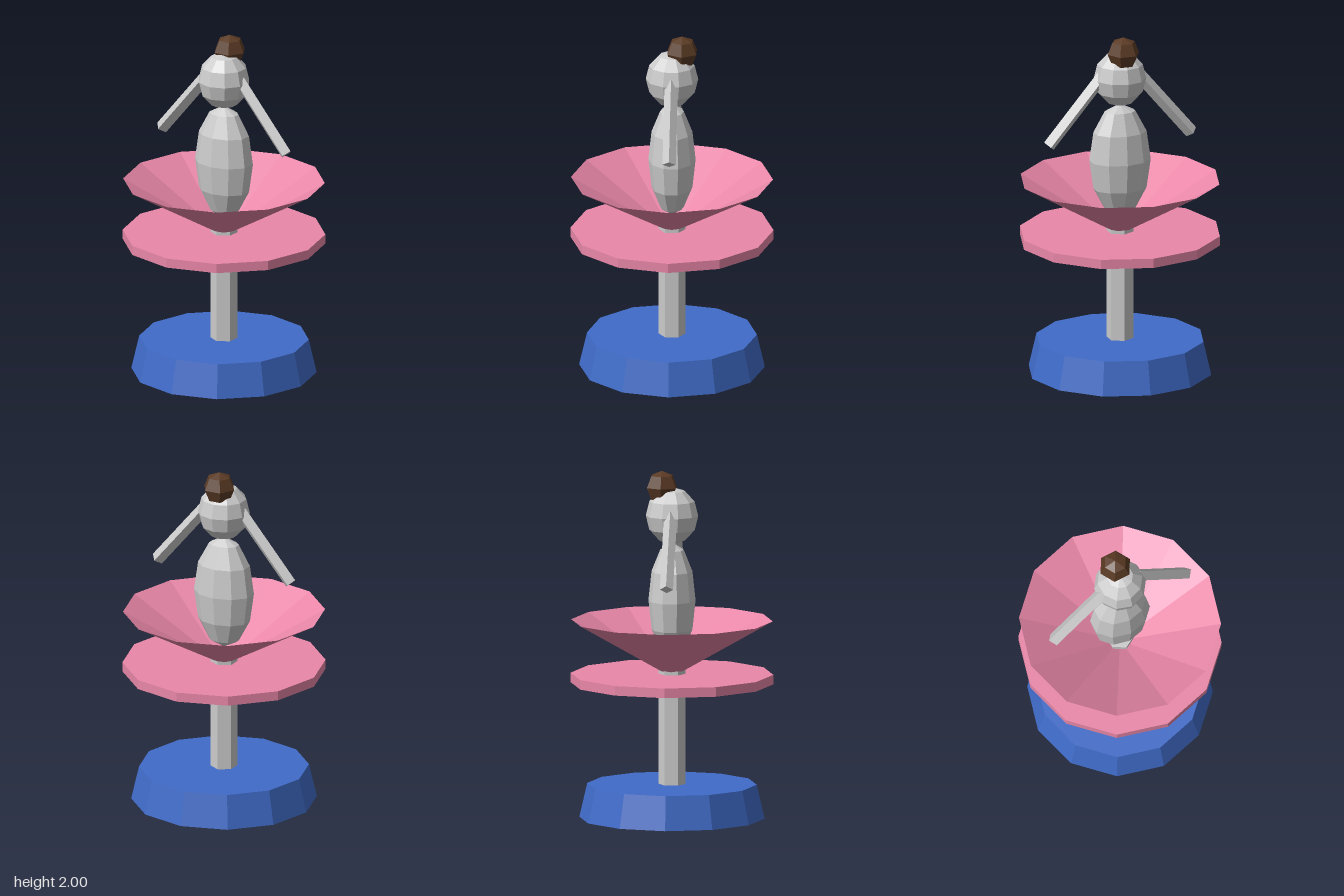
import * as THREE from 'three';

const paint = (color, side = THREE.FrontSide) =>
  new THREE.MeshStandardMaterial({ color, flatShading: true, side });

export function createModel() {
  const group = new THREE.Group();
  const grey = paint(0xcccccc);
  const blue = paint(0x3f6bc8);
  const brown = paint(0x5a3a24);
  const pink = paint(0xe987a8);
  const pinkOpen = paint(0xe987a8, THREE.DoubleSide);

  const add = (name, geometry, material, x = 0, y = 0, z = 0) => {
    const mesh = new THREE.Mesh(geometry, material);
    mesh.name = name;
    mesh.position.set(x, y, z);
    group.add(mesh);
    return mesh;
  };

  // Upright prism or frustum between two heights
  const column = (name, rTop, rBottom, y0, y1, sides, material, open = false) =>
    add(name, new THREE.CylinderGeometry(rTop, rBottom, y1 - y0, sides, 1, open),
      material, 0, (y0 + y1) / 2, 0);

  // Faceted ellipsoid with a corner facing the front
  const ellipsoid = (name, rx, ry, rz, y) =>
    add(name, new THREE.SphereGeometry(1, 10, 6).rotateY(Math.PI / 2).scale(rx, ry, rz),
      grey, 0, y, 0);

  // Stand
  column('base', 0.485, 0.53, 0, 0.195, 12, blue);
  column('stem', 0.077, 0.077, 0.19, 0.88, 6, grey);

  // Skirt: flat disc under an open, upturned cone
  column('skirtDisc', 0.58, 0.58, 0.775, 0.83, 12, pink);
  column('skirtCone', 0.577, 0, 0.81, 1.138, 12, pinkOpen, true);

  // Figure
  ellipsoid('body', 0.18, 0.335, 0.135, 1.255);
  ellipsoid('head', 0.15, 0.164, 0.15, 1.742);
  add('hairBun', new THREE.SphereGeometry(0.095, 6, 4), brown, 0, 1.905, -0.058);

  // Arms: square rods slanting down and out from inside the head
  const tilt = 0.7, length = 0.5;
  for (const side of [1, -1]) {
    const arm = add(side > 0 ? 'leftArm' : 'rightArm',
      new THREE.CylinderGeometry(0.038, 0.038, length, 4), grey,
      side * (0.43 - Math.sin(tilt) * length / 2), 1.378 + Math.cos(tilt) * length / 2, 0);
    arm.rotation.z = side * tilt;
  }

  return group;
}
